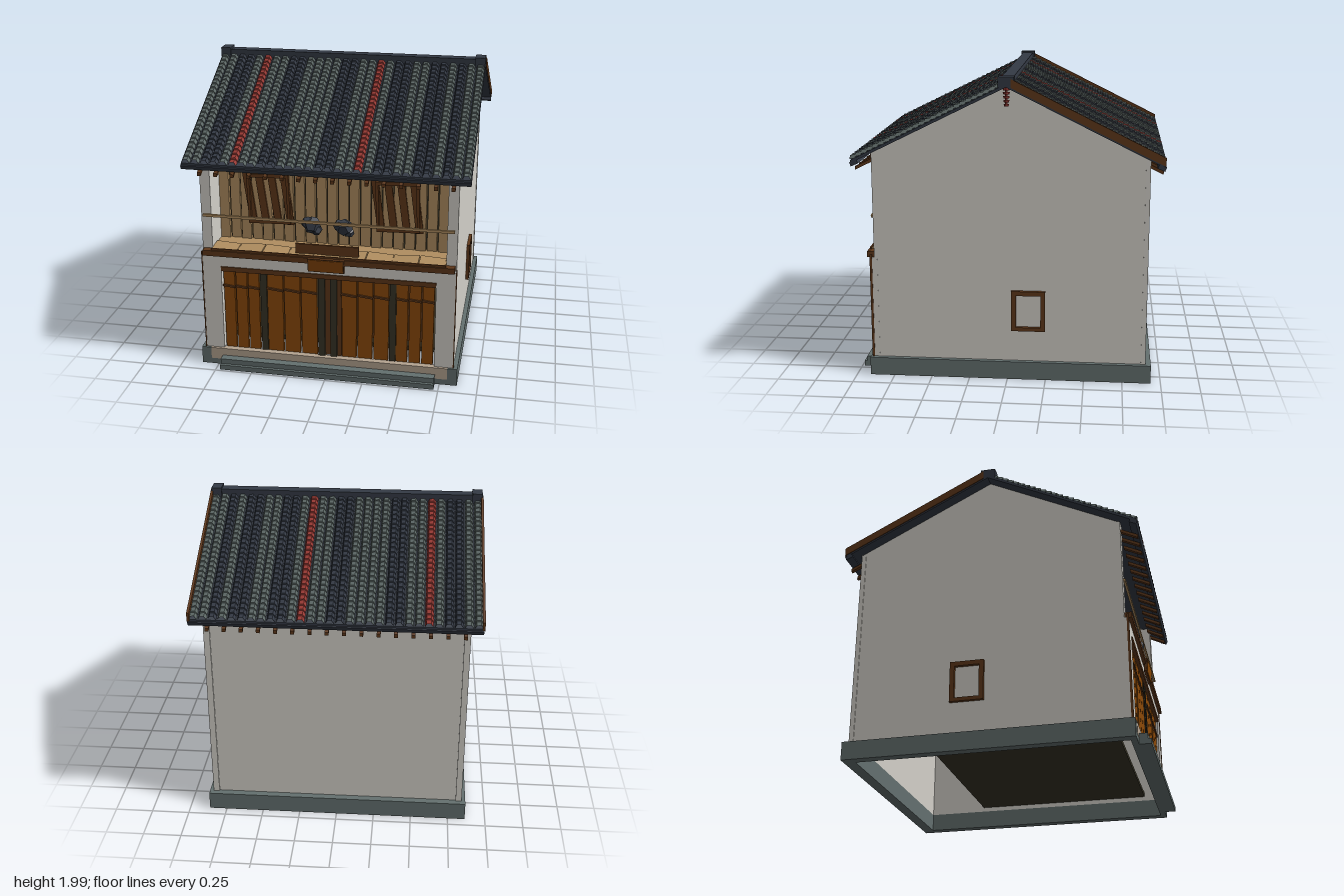
import * as THREE from 'three';

const paint = (name, color) => {
  const m = new THREE.MeshStandardMaterial({ color });
  m.name = name;
  return m;
};

export function createModel() {
  const root = new THREE.Group();
  root.name = 'townHouse';
  const plaster = paint('plaster', 0xd3d0c9), stone = paint('stone', 0x64706f);
  const doorWood = paint('doorWood', 0x8c4a08), brown = paint('brownWood', 0x5f381a);
  const tan = paint('tanWood', 0xb08e60), dark = paint('darkWood', 0x383426);
  const slate = paint('slate', 0x343a45), tileGrey = paint('tileGrey', 0x5c6765);
  const red = paint('red', 0x983a34), beige = paint('beige', 0xb5a491);
  for (const m of [slate, tileGrey, red]) { m.side = THREE.DoubleSide; m.flatShading = true; }

  const add = (name, geo, mat, parent = root) => {
    const mesh = new THREE.Mesh(geo, mat);
    mesh.name = name;
    parent.add(mesh);
    return mesh;
  };
  // Box given by its limits on each axis
  const box = (name, mat, [x0, x1], [y0, y1], [z0, z1], parent = root) => {
    const m = add(name, new THREE.BoxGeometry(x1 - x0, y1 - y0, z1 - z0), mat, parent);
    m.position.set((x0 + x1) / 2, (y0 + y1) / 2, (z0 + z1) / 2);
    return m;
  };
  // Same box on both sides of x = 0
  const pair = (name, mat, [x0, x1], y, z) => {
    box(name + 'Left', mat, [x0, x1], y, z);
    box(name + 'Right', mat, [-x1, -x0], y, z);
  };

  // Foundation ring, threshold, steps and inner floor
  pair('foundationSide', stone, [0.8, 0.865], [0, 0.12], [-0.935, 0.91]);
  box('foundationBack', stone, [-0.8, 0.8], [0, 0.12], [-0.935, -0.86]);
  box('foundationFront', stone, [-0.8, 0.8], [0, 0.04], [0.87, 0.91]);
  box('threshold', beige, [-0.8, 0.8], [0.04, 0.12], [0.87, 0.912]);
  box('upperStep', stone, [-0.72, 0.72], [0, 0.07], [0.91, 0.965]);
  box('lowerStep', stone, [-0.72, 0.72], [0, 0.035], [0.965, 0.985]);
  box('innerFloor', dark, [-0.8, 0.8], [0.15, 0.18], [-0.46, 0.76]);

  // Gabled side walls; the profile is drawn in (-z, y)
  const gable = new THREE.Shape([[-0.87, 0.12], [0.89, 0.12], [0.89, 1.485], [0, 1.925], [-0.87, 1.49]]
    .map(([a, b]) => new THREE.Vector2(a, b)));
  for (const x of [-0.835, 0.8]) {
    const wall = add('sideWall', new THREE.ExtrudeGeometry(gable, { depth: 0.035, bevelEnabled: false }), plaster);
    wall.rotation.y = Math.PI / 2;
    wall.position.x = x;
  }
  box('backWall', plaster, [-0.8, 0.8], [0.12, 1.49], [-0.89, -0.86]);
  pair('backCorner', plaster, [0.8, 0.84], [0.12, 1.48], [-0.9, -0.87]);
  pair('upperFrontPost', plaster, [0.768, 0.834], [0.82, 1.5], [0.64, 0.871]);
  pair('frontPier', plaster, [0.71, 0.836], [0.12, 0.8], [0.85, 0.895]);
  pair('pierEdge', brown, [0.834, 0.84], [0.12, 0.82], [0.885, 0.9]);
  box('lintelWall', plaster, [-0.71, 0.71], [0.72, 0.8], [0.85, 0.895]);

  // Side windows
  for (const s of [-1, 1]) {
    const frame = new THREE.Group();
    frame.name = 'sideWindowFrame';
    frame.position.x = s * 0.845;
    root.add(frame);
    const x = [-0.012, 0.012];
    box('sill', brown, x, [0.33, 0.355], [-0.245, -0.025], frame);
    box('head', brown, x, [0.57, 0.6], [-0.245, -0.025], frame);
    box('jambFront', brown, x, [0.33, 0.6], [-0.055, -0.025], frame);
    box('jambBack', brown, x, [0.33, 0.6], [-0.245, -0.215], frame);
  }

  // Shop doors: planks with battens behind the gaps, posts and crooked rails
  for (const [a, b] of [[-0.705, -0.455], [-0.41, -0.065], [0.09, 0.41], [0.45, 0.705]]) {
    const w = (b - a) / 3;
    for (let i = 0; i < 3; i++) {
      const left = a + i * w;
      box('doorPlank', doorWood, [left + 0.005, left + w - 0.005], [0.125, 0.69], [0.86, 0.88]);
      if (i) box('doorBatten', brown, [left - 0.009, left + 0.009], [0.27, 0.69], [0.85, 0.858]);
      const rail = box('doorRail', brown, [left, left + w], [0.572, 0.585], [0.88, 0.89]);
      rail.rotation.z = -0.12;
    }
  }
  box('doorHead', brown, [-0.71, 0.71], [0.69, 0.722], [0.855, 0.902]);
  pair('doorPost', dark, [0.41, 0.452], [0.12, 0.69], [0.84, 0.875]);
  pair('centrePost', dark, [0.018, 0.062], [0.12, 0.71], [0.84, 0.885]);
  box('centreJamb', brown, [0.062, 0.09], [0.12, 0.7], [0.845, 0.87]);
  box('centreBatten', brown, [-0.018, 0.018], [0.12, 0.7], [0.84, 0.865]);

  // Balcony: beam, floor, uneven ledge boards and rail
  box('balconyBeam', brown, [-0.825, 0.825], [0.8, 0.838], [0.86, 0.918]);
  box('balconyFloor', tan, [-0.768, 0.768], [0.805, 0.84], [0.64, 0.86]);
  for (let i = 0; i < 9; i++) {
    const x = -0.765 + i * 0.17;
    const board = box('ledgeBoard', tan, [x, x + 0.165], [0.838, 0.848], [0.78, 0.9]);
    board.rotation.set(0.04, 0, (i % 2 ? 1 : -1) * 0.06);
  }
  box('ledgeStrip', brown, [-0.768, 0.768], [0.838, 0.852], [0.9, 0.91]);
  box('balconyRail', tan, [-0.82, 0.815], [1.063, 1.08], [0.873, 0.888]);

  // Boarded upper wall
  box('boardBacking', dark, [-0.8, 0.8], [0.84, 1.57], [0.635, 0.65]);
  for (let i = 0; i < 21; i++) {
    const x = -0.768 + i * 0.0731;
    box('wallBoard', tan, [x, x + 0.064], [0.84, 1.57], [0.65, i % 2 ? 0.668 : 0.676]);
  }

  // Upper windows: crooked frame over broad slanting slats
  for (const x of [-0.425, 0.43]) {
    const win = new THREE.Group();
    win.name = 'upperWindow';
    win.position.set(x, 1.145, 0.69);
    root.add(win);
    for (let i = 0; i < 4; i++) {
      const slat = box('slat', brown, [-0.155 + i * 0.084, -0.107 + i * 0.084], [-0.18, 0.18], [-0.01, 0.005], win);
      slat.rotation.z = 0.13;
    }
    const frame = new THREE.Group();
    frame.name = 'windowFrame';
    frame.rotation.z = 0.03;
    win.add(frame);
    for (const s of [-1, 1]) {
      box('frameSide', brown, [s * 0.132 - 0.009, s * 0.132 + 0.009], [-0.17, 0.17], [0, 0.025], frame);
      box('frameRail', brown, [-0.14, 0.14], [s * 0.16 - 0.012, s * 0.16 + 0.012], [0, 0.025], frame);
    }
  }

  // Hanging bundles on the rail
  for (const s of [-1, 1]) {
    [[0, 0, 0.058], [0.028, -0.03, 0.038], [-0.03, 0.012, 0.042]].forEach(([dx, dy, r], i) => {
      const lump = add('bundle', new THREE.DodecahedronGeometry(r), slate);
      lump.position.set(s * 0.105 + dx, 1.035 + dy, 0.835);
      lump.rotation.set(i, 0.5 * s, 0.4);
    });
  }

  // Blank sign boards
  box('upperSignBoard', brown, [-0.21, 0.205], [0.848, 0.915], [0.86, 0.875]);
  const plaque = new THREE.Group();
  plaque.name = 'plaque';
  plaque.position.set(0, 0.792, 0.917);
  plaque.rotation.x = 0.12;
  root.add(plaque);
  box('plaqueFrame', brown, [-0.12, 0.118], [-0.047, 0.047], [-0.012, 0.006], plaque);
  box('plaqueFace', doorWood, [-0.113, 0.111], [-0.04, 0.04], [0.006, 0.01], plaque);

  // Roof: stepped tile columns on a sloping deck that shows between them
  const SLOPE = 0.495, TOP = 1.945, X0 = -0.9125, COLS = 30, W = 1.825 / COLS, ROWS = 26;
  const roofY = z => TOP - SLOPE * z;
  const section = [[0, 0], [0.16, 0.02], [0.62, 0.022], [0.87, 0]];
  const tileColumn = () => {
    const rings = [];
    for (let r = 0; r < ROWS; r++) {
      for (const end of [0, 1]) {
        const z = 0.03 + (r + end) * 0.96 / ROWS;
        rings.push(section.map(([u, h]) => [u * W, roofY(z) - 0.003 + h + end * 0.01, z]));
      }
    }
    const pos = [];
    for (let r = 0; r + 1 < rings.length; r++) {
      for (let k = 0; k < 3; k++) {
        const a = rings[r][k], b = rings[r + 1][k], c = rings[r + 1][k + 1], d = rings[r][k + 1];
        pos.push(...a, ...b, ...c, ...a, ...c, ...d);
      }
    }
    const g = new THREE.BufferGeometry();
    g.setAttribute('position', new THREE.Float32BufferAttribute(pos, 3));
    g.computeVertexNormals();
    return g;
  };
  const tiles = tileColumn();
  const pattern = 'GGNNGRGGNNGGGGNNGGRGNNGGNNGNGG';
  const tileMats = { G: tileGrey, N: slate, R: red };
  // Sloping bar from z0 to z1, its top lifted off the deck line
  const slopeBar = (name, mat, [x0, x1], z0, z1, lift, thick, parent) => {
    const s = new THREE.Shape([[z0, lift], [z1, lift], [z1, lift - thick], [z0, lift - thick]]
      .map(([z, o]) => new THREE.Vector2(-z, roofY(z) + o)));
    const m = add(name, new THREE.ExtrudeGeometry(s, { depth: x1 - x0, bevelEnabled: false }), mat, parent);
    m.rotation.y = Math.PI / 2;
    m.position.x = x0;
  };
  for (const back of [false, true]) {
    const half = new THREE.Group();
    half.name = back ? 'backRoof' : 'frontRoof';
    half.rotation.y = back ? Math.PI : 0;
    root.add(half);
    slopeBar('roofDeck', slate, [X0, -X0], 0, 0.985, 0, 0.02, half);
    for (let i = 0; i < COLS; i++) {
      const key = pattern[back ? COLS - 1 - i : i];
      add('tileColumn', tiles, tileMats[key], half).position.x = X0 + (i + 0.065) * W;
    }
    const eave = box('eaveBoard', slate, [-0.915, 0.912], [1.425, 1.452], [0.94, 0.99], half);
    eave.rotation.x = 0.4;
    for (let i = 0; i < 16; i++) {
      const x = -0.8 + i * 0.107;
      slopeBar('rafter', brown, [x - 0.012, x + 0.012], 0.86, 0.98, -0.062, 0.022, half);
    }
    if (back) {
      for (const s of [-1, 1]) slopeBar('bargeBoard', brown, [s * 0.91 - 0.008, s * 0.91 + 0.008], 0.03, 0.99, 0.047, 0.055, half);
    }
  }

  // Ridge with end blocks
  box('ridge', slate, [-0.9, 0.9], [1.925, 1.978], [-0.038, 0.038]);
  pair('ridgeEnd', slate, [0.845, 0.912], [1.925, 1.99], [-0.05, 0.05]);

  // Red tapering pendant under the gable peak
  for (let i = 0; i < 5; i++) {
    const r = 0.025 - i * 0.002;
    const disc = add('gablePendant', new THREE.CylinderGeometry(r, r * 0.8, 0.016, 8), red);
    disc.position.set(0.875, 1.91 - i * 0.025, 0);
    disc.rotation.z = 0.15;
  }
  const cord = add('pendantCord', new THREE.CylinderGeometry(0.007, 0.007, 0.12, 6), red);
  cord.position.set(0.875, 1.865, 0);
  return root;
}
